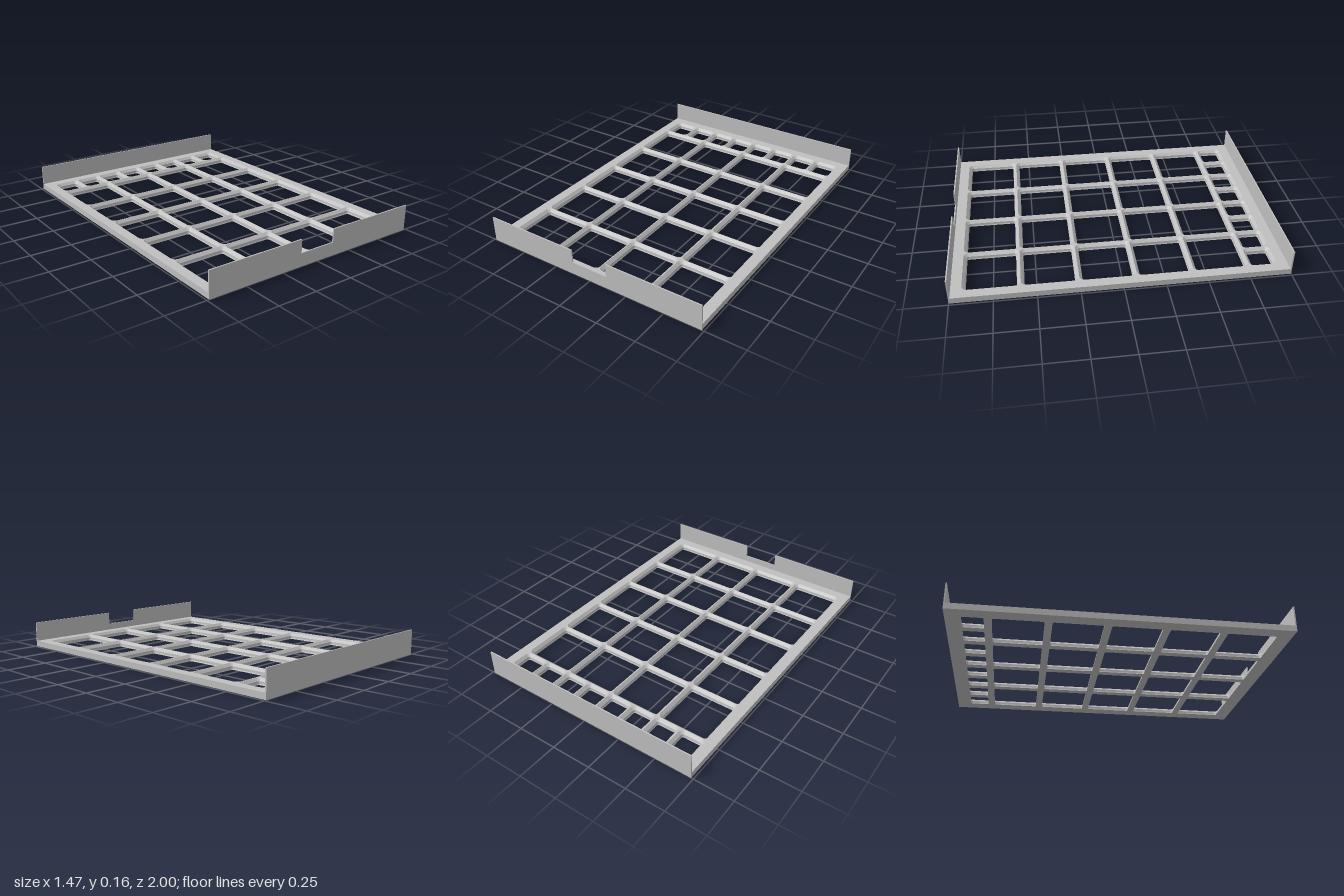
import * as THREE from 'three';
import { toCreasedNormals } from 'three/addons/utils/BufferGeometryUtils.js';

const HALF_X = 0.737, HALF_Z = 1, SLAB = 0.037, TOP = 0.162, WALL = 0.008;
const PITCH = 0.3385;

// Cell profile from top to bottom: height, inset from the cell boundary, corner radius
const PROFILE = [
  [SLAB, 0.002, 0.031],
  [0.02, 0.0195, 0.0145],
  [0.0056, 0.0195, 0.0145],
  [0, 0.0225, 0.0115],
];

// Rounded square as [x, z] points
function roundedSquare(cell, inset, r) {
  const h = cell.size / 2 - inset - r, pts = [], steps = 6;
  [[1, 1], [-1, 1], [-1, -1], [1, -1]].forEach(([sx, sz], q) => {
    for (let i = 0; i <= steps; i++) {
      const a = (q + i / steps) * Math.PI / 2;
      pts.push([cell.x + sx * h + r * Math.cos(a), cell.z + sz * h + r * Math.sin(a)]);
    }
  });
  return pts;
}

// Band of quads joining loops of [x, z] points at given heights, facing inwards
function band(loops) {
  const pos = [], index = [], n = loops[0].pts.length;
  for (const { y, pts } of loops) for (const [x, z] of pts) pos.push(x, y, z);
  for (let k = 0; k < loops.length - 1; k++) {
    for (let i = 0; i < n; i++) {
      const j = (i + 1) % n, a = k * n + i, b = k * n + j;
      index.push(a, a + n, b + n, a, b + n, b);
    }
  }
  const g = new THREE.BufferGeometry();
  g.setAttribute('position', new THREE.Float32BufferAttribute(pos, 3));
  g.setIndex(index);
  return toCreasedNormals(g, 0.5);
}

// Flat perforated face; up is 1 for the top and -1 for the underside
function perforatedFace(outline, cells, [y, inset, r], up) {
  const toVec = ([x, z]) => new THREE.Vector2(x, -up * z);
  const shape = new THREE.Shape(outline.map(toVec));
  for (const c of cells) shape.holes.push(new THREE.Path(roundedSquare(c, inset, r).map(toVec)));
  return new THREE.ShapeGeometry(shape).rotateX(-up * Math.PI / 2).translate(0, y, 0);
}

export function createModel() {
  const model = new THREE.Group();
  const grey = new THREE.MeshStandardMaterial({ color: 0xbfbfbf });
  grey.name = 'grey';
  const add = (name, geometry, parent = model) => {
    const mesh = new THREE.Mesh(geometry, grey);
    mesh.name = name;
    parent.add(mesh);
    return mesh;
  };

  // Cell layout: one row of eight half cells at the back, then five rows of four
  const cells = [], z0 = -PITCH * 2.75;
  for (let i = 0; i < 8; i++) {
    cells.push({ x: (i - 3.5) * PITCH / 2, z: z0 + PITCH / 4, size: PITCH / 2 });
  }
  for (let row = 0; row < 5; row++) {
    for (let col = 0; col < 4; col++) {
      cells.push({ x: (col - 1.5) * PITCH, z: z0 + (row + 1) * PITCH, size: PITCH });
    }
  }

  // Grid plate
  const plate = new THREE.Group();
  plate.name = 'gridPlate';
  model.add(plate);
  const outline = [[HALF_X, HALF_Z], [-HALF_X, HALF_Z], [-HALF_X, -HALF_Z], [HALF_X, -HALF_Z]];
  add('plateTop', perforatedFace(outline, cells, PROFILE[0], 1), plate);
  add('plateUnderside', perforatedFace(outline, cells, PROFILE[3], -1), plate);
  add('plateSides', band([{ y: 0, pts: outline }, { y: SLAB, pts: outline }]), plate);
  for (const c of cells) {
    add('cellWall', band(PROFILE.map(([y, inset, r]) => ({ y, pts: roundedSquare(c, inset, r) }))), plate);
  }

  // Back wall
  const backWall = add('backWall', new THREE.BoxGeometry(2 * HALF_X, TOP - SLAB, WALL));
  backWall.position.set(0, (TOP + SLAB) / 2, -HALF_Z + WALL / 2);

  // Front wall with a central notch
  const profile = [
    [-HALF_X, SLAB], [HALF_X, SLAB], [HALF_X, TOP], [0.12, TOP],
    [0.12, 0.08], [-0.12, 0.08], [-0.12, TOP], [-HALF_X, TOP],
  ];
  const frontShape = new THREE.Shape(profile.map(([x, y]) => new THREE.Vector2(x, y)));
  const frontWall = add('frontWall',
    new THREE.ExtrudeGeometry(frontShape, { depth: WALL, bevelEnabled: false }));
  frontWall.position.z = HALF_Z - WALL;

  return model;
}
